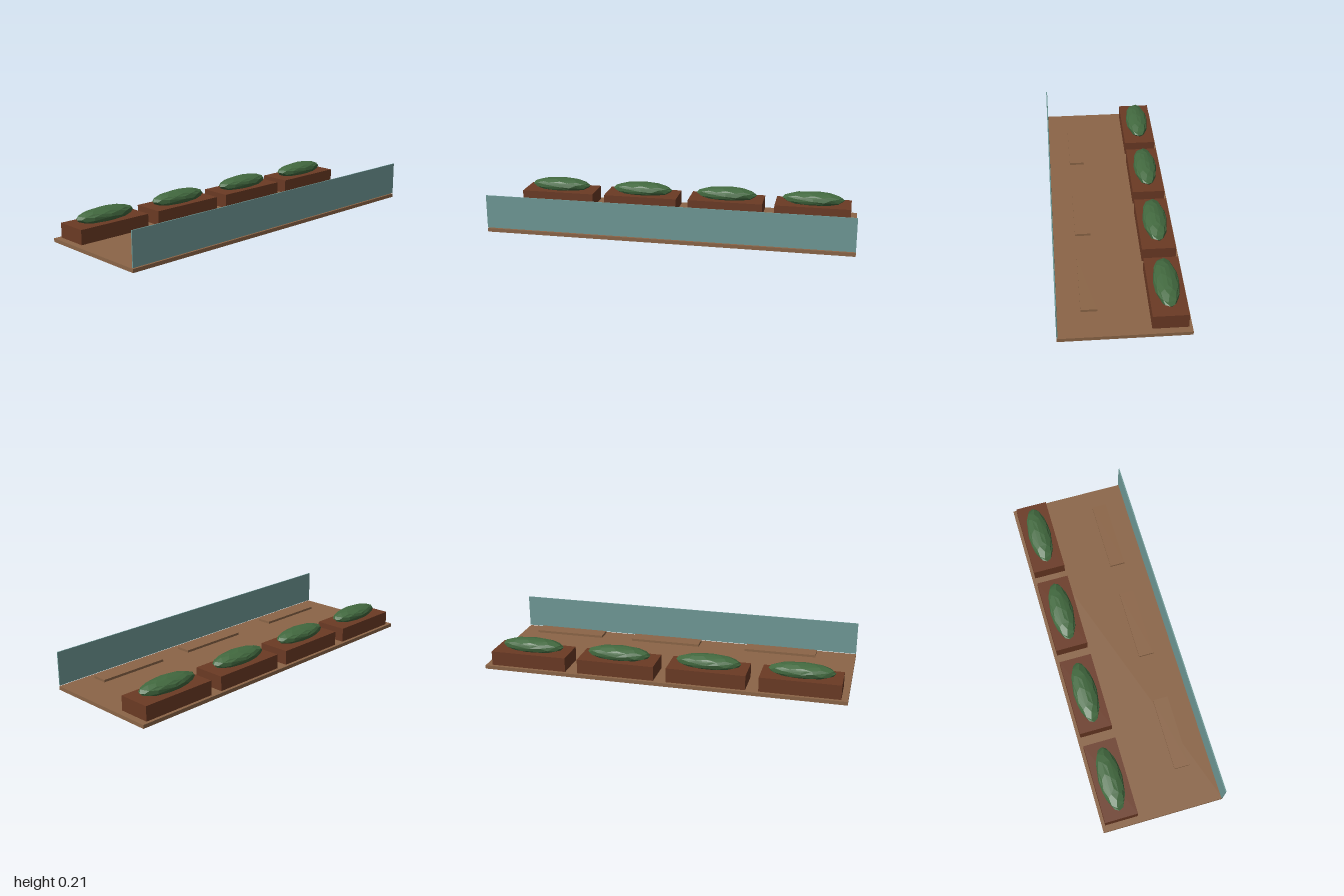
import * as THREE from 'three';

const material = (color, flatShading = false) => new THREE.MeshStandardMaterial({ color, flatShading });

export function createModel() {
  const model = new THREE.Group();
  const wood = material(0x8b6547);
  const planterWood = material(0x6b3a24);
  const glass = material(0x6f9996);
  const leaves = material(0x42693f, true);

  const add = (name, geometry, mat, x, y, z) => {
    const mesh = new THREE.Mesh(geometry, mat);
    mesh.name = name;
    mesh.position.set(x, y, z);
    model.add(mesh);
  };

  // Deck and the glass screen along its front edge
  add('deck', new THREE.BoxGeometry(2, 0.02, 0.666), wood, 0, 0.01, 0);
  add('glassScreen', new THREE.BoxGeometry(2, 0.184, 0.006), glass, 0, 0.117, 0.33);

  // Bench seats behind the screen
  const bench = new THREE.BoxGeometry(0.4, 0.013, 0.083);
  [-0.585, 0.083, 0.666].forEach((x, i) => add(`benchSeat${i + 1}`, bench, wood, x, 0.0675, 0.168));

  // Row of planters along the back, each with a faceted shrub set into it
  const box = new THREE.BoxGeometry(0.43, 0.08, 0.181);
  const shrub = new THREE.DodecahedronGeometry(1, 1).scale(0.177, 0.041, 0.066);
  [-0.75, -0.25, 0.25, 0.75].forEach((x, i) => {
    add(`planter${i + 1}`, box, planterWood, x, 0.06, -0.225);
    add(`shrub${i + 1}`, shrub, leaves, x, 0.125, -0.225);
  });

  return model;
}
